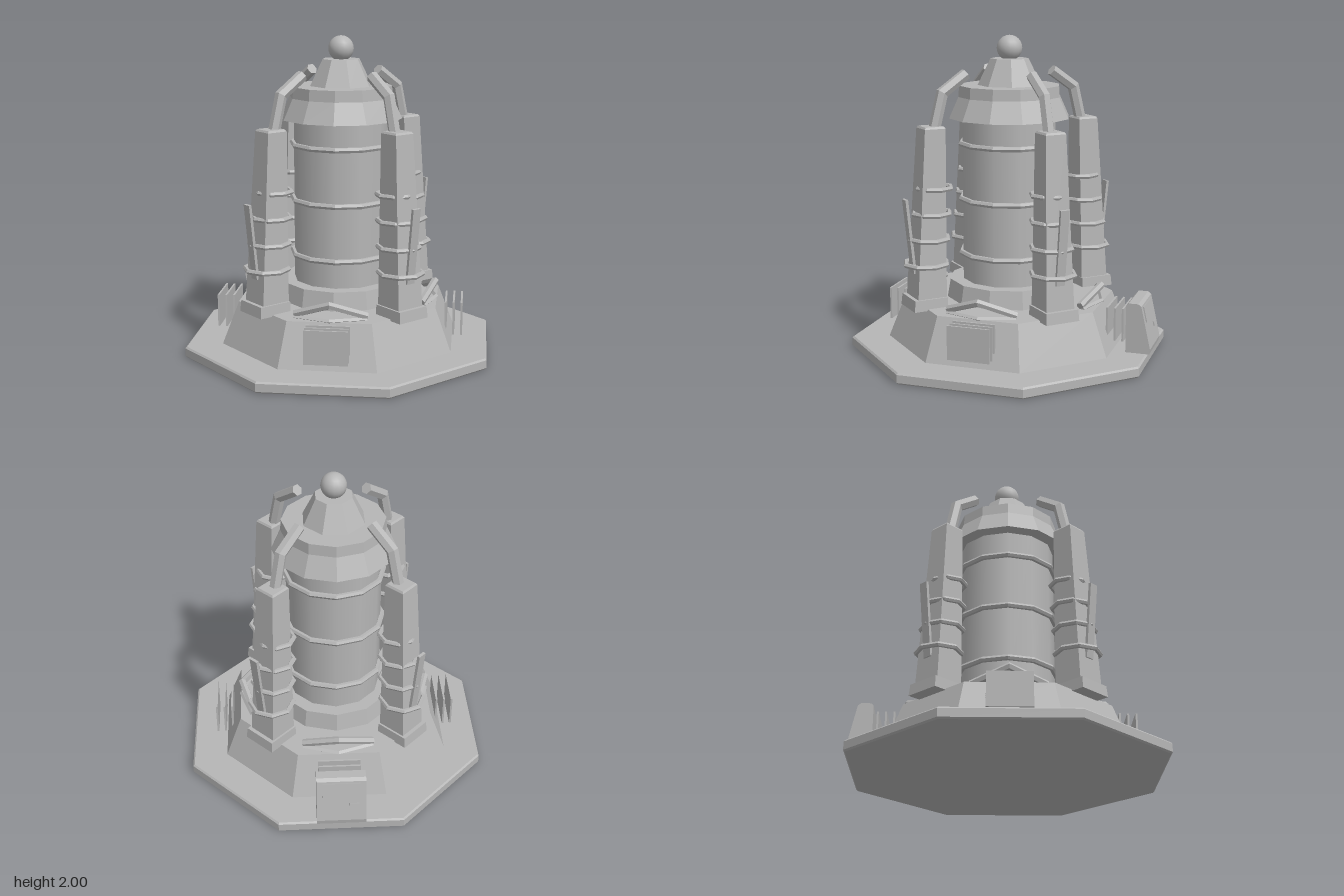
import * as THREE from 'three';

const grey = new THREE.MeshStandardMaterial({ color: 0xb6b6b6 });
grey.name = 'grey metal';

// Faceted normals unless smooth is asked for
function part(parent, name, geometry, smooth = false) {
  let g = geometry;
  if (!smooth) {
    if (g.index) g = g.toNonIndexed();
    g.computeVertexNormals();
  }
  const mesh = new THREE.Mesh(g, grey);
  mesh.name = name;
  parent.add(mesh);
  return mesh;
}

// Upright prism or frustum between two heights
function drum(rBottom, rTop, y0, y1, sides, open = false) {
  return new THREE.CylinderGeometry(rTop, rBottom, y1 - y0, sides, 1, open).translate(0, (y0 + y1) / 2, 0);
}

// Octagon with flat sides on the axes, sized by its apothem
function octagon(a0, a1, y0, y1) {
  const k = 1 / Math.cos(Math.PI / 8);
  return drum(a0 * k, a1 * k, y0, y1, 8).rotateY(Math.PI / 8);
}

// Four-sided tapered post, sized by half widths; the top can be offset along z
function post(h0, h1, y0, y1, z0, z1) {
  const g = drum(h0 * Math.SQRT2, h1 * Math.SQRT2, y0, y1, 4).rotateY(Math.PI / 4);
  const p = g.attributes.position;
  for (let i = 0; i < p.count; i++) {
    const t = (p.getY(i) - y0) / (y1 - y0);
    p.setZ(i, p.getZ(i) + z0 + (z1 - z0) * t);
  }
  return g;
}

// Bar with mitred bends along a flat path in the xy plane
function bentBar(path, radius, sides) {
  const pts = path.map(([x, y]) => new THREE.Vector2(x, y));
  const n = pts.length - 1;
  const g = new THREE.CylinderGeometry(radius, radius, n, sides, n);
  const p = g.attributes.position;
  const dir = (i) => pts[i + 1].clone().sub(pts[i]).normalize();
  for (let i = 0; i < p.count; i++) {
    const j = Math.round(p.getY(i) + n / 2);
    const a = dir(Math.max(j - 1, 0));
    const b = dir(Math.min(j, n - 1));
    const t = a.clone().add(b).normalize();
    const s = p.getX(i) / t.dot(a);
    p.setXYZ(i, pts[j].x + t.y * s, pts[j].y - t.x * s, p.getZ(i));
  }
  return g;
}

function ring(radius, tube, sides, y) {
  return new THREE.TorusGeometry(radius, tube, 6, sides).rotateX(Math.PI / 2).translate(0, y, 0);
}

// One pylon, built facing +z
function makePylon() {
  const pylon = new THREE.Group();
  pylon.name = 'pylon';
  part(pylon, 'pylonFoot', post(0.112, 0.108, 0.33, 0.4, 0.595, 0.592));
  part(pylon, 'pylonBody', post(0.095, 0.068, 0.4, 1.45, 0.58, 0.537));
  part(pylon, 'pylonCap', post(0.068, 0.06, 1.45, 1.462, 0.537, 0.537));

  // Coils shrink toward the top
  for (let i = 0; i < 4; i++) {
    const coil = part(pylon, 'coil', ring(0.135 - i * 0.009, 0.016, 8, 0.605 + i * 0.158));
    coil.position.z = 0.58 - i * 0.02;
  }

  // Arm reaching over the column
  const arm = bentBar([[-0.53, 1.38], [-0.46, 1.66], [-0.3, 1.77]], 0.037, 6);
  part(pylon, 'arm', arm.rotateY(Math.PI / 2));

  // Leaning outer fin
  const fin = part(pylon, 'fin', new THREE.BoxGeometry(0.058, 0.47, 0.018));
  fin.position.set(0, 0.787, 0.69);
  fin.rotation.x = 0.105;
  return pylon;
}

// Vent plates and chevron trims for one side, built facing +z
function makeSide() {
  const side = new THREE.Group();
  side.name = 'sideTrim';
  for (const z of [0.68, 0.73, 0.78]) {
    part(side, 'ventPlate', new THREE.BoxGeometry(0.265, 0.21, 0.012).translate(0, 0.235, z));
  }
  const raised = part(side, 'raisedChevron', bentBar([[-0.22, 0], [0, 0.11], [0.22, 0]], 0.024, 6));
  raised.position.set(0, 0.36, 0.53);
  raised.rotation.x = 0.75;
  const flat = part(side, 'flatChevron', bentBar([[-0.22, 0], [0, 0.07], [0.22, 0]], 0.014, 4));
  flat.position.set(0, 0.343, 0.545);
  flat.rotation.x = Math.PI / 2;
  return side;
}

// Control box at the back edge
function makeConsole() {
  const console_ = new THREE.Group();
  console_.name = 'controlBox';
  const profile = new THREE.Shape();
  profile.moveTo(0.95, 0.07);
  profile.lineTo(0.955, 0.1);
  profile.lineTo(0.895, 0.37);
  profile.lineTo(0.875, 0.385);
  profile.lineTo(0.815, 0.385);
  profile.lineTo(0.8, 0.37);
  profile.lineTo(0.8, 0.07);
  const body = new THREE.ExtrudeGeometry(profile, { depth: 0.305, bevelEnabled: false });
  part(console_, 'boxBody', body.translate(0, 0, -0.1525).rotateY(Math.PI / 2));

  const panel = part(console_, 'screen', new THREE.BoxGeometry(0.23, 0.1, 0.009));
  panel.position.set(0, 0.31, -0.911);
  panel.rotation.x = 0.22;
  const slot = part(console_, 'slot', new THREE.BoxGeometry(0.06, 0.03, 0.009));
  slot.position.set(-0.08, 0.205, -0.935);
  slot.rotation.x = 0.22;
  return console_;
}

export function createModel() {
  const model = new THREE.Group();
  model.name = 'reactorTower';
  const tower = new THREE.Group();
  tower.name = 'tower';
  tower.position.z = 0.005;
  model.add(tower);

  // Stepped octagonal base
  part(tower, 'baseLower', octagon(0.932, 0.942, 0, 0.01));
  part(tower, 'baseSlab', octagon(0.942, 0.942, 0.01, 0.06));
  part(tower, 'baseUpper', octagon(0.942, 0.932, 0.06, 0.07));
  part(tower, 'plinth', octagon(0.72, 0.62, 0.07, 0.34));

  // Central column with its bands
  part(tower, 'columnCollar', drum(0.405, 0.385, 0.34, 0.455, 12));
  part(tower, 'column', drum(0.3, 0.3, 0.4, 1.52, 12, true), true);
  for (const y of [0.626, 0.976, 1.326]) part(tower, 'columnBand', ring(0.31, 0.018, 12, y));

  // Flared head
  part(tower, 'headSkirt', drum(0.385, 0.325, 1.487, 1.62, 12));
  part(tower, 'headBand', drum(0.325, 0.32, 1.62, 1.69, 12));
  part(tower, 'headCone', octagon(0.185, 0.11, 1.69, 1.855));
  part(tower, 'topBall', new THREE.SphereGeometry(0.08, 16, 12).translate(0, 1.92, 0), true);

  // Four sides and four diagonal pylons
  for (let i = 0; i < 4; i++) {
    const side = makeSide();
    side.rotation.y = i * Math.PI / 2;
    const pylon = makePylon();
    pylon.rotation.y = (i + 0.5) * Math.PI / 2;
    tower.add(side, pylon);
  }

  model.add(makeConsole());
  return model;
}
